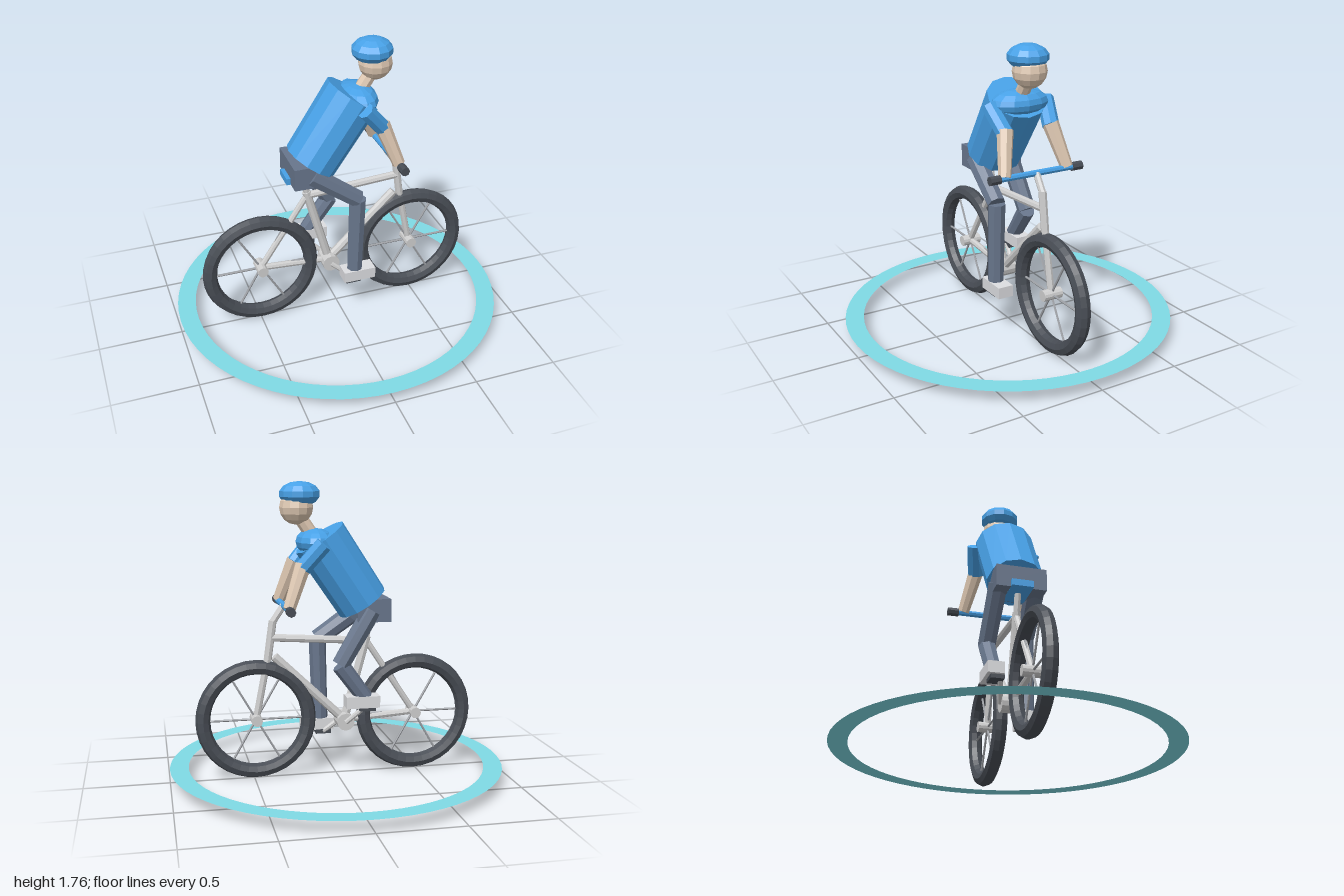
import * as THREE from 'three';

const mat = (name, color) => {
  const m = new THREE.MeshStandardMaterial({ color });
  m.name = name;
  return m;
};

export function createModel() {
  const root = new THREE.Group();
  root.name = 'cyclist';
  const blue = mat('blue', 0x48a2e8);
  const slate = mat('slate', 0x68768c);
  const skin = mat('skin', 0xdec8b2);
  const rubber = mat('rubber', 0x484d55);
  const metal = mat('metal', 0xcfcfcf);
  const spokeGrey = mat('spokeGrey', 0xa0a3a8);
  const shoe = mat('shoe', 0xdcdde0);
  const teal = mat('teal', 0x7fdae5);
  teal.side = THREE.DoubleSide;

  // Faceted mesh
  const add = (name, geo, material, pos = [0, 0, 0], parent = root) => {
    const g = geo.index ? geo.toNonIndexed() : geo;
    g.computeVertexNormals();
    const mesh = new THREE.Mesh(g, material);
    mesh.name = name;
    mesh.position.set(...pos);
    parent.add(mesh);
    return mesh;
  };
  const box = (name, size, pos, material) => add(name, new THREE.BoxGeometry(...size), material, pos);
  const ball = (name, radii, pos, material, rows = 8) =>
    add(name, new THREE.SphereGeometry(1, 12, rows).scale(...radii), material, pos);

  // Tapered rod between two points
  const up = new THREE.Vector3(0, 1, 0);
  const rod = (name, a, b, ra, rb, material, parent = root, sides = 8) => {
    const p = new THREE.Vector3(...a), q = new THREE.Vector3(...b);
    const d = q.clone().sub(p);
    const mesh = add(name, new THREE.CylinderGeometry(rb, ra, d.length(), sides), material,
      p.clone().add(q).multiplyScalar(0.5).toArray(), parent);
    mesh.quaternion.setFromUnitVectors(up, d.normalize());
    return mesh;
  };

  // Floating ring around the bicycle
  add('ring', new THREE.RingGeometry(0.89, 1, 64).rotateX(-Math.PI / 2), teal, [0, 0.075, 0]);

  // Wheels
  for (const [name, x] of [['rearWheel', -0.485], ['frontWheel', 0.485]]) {
    const wheel = new THREE.Group();
    wheel.name = name;
    wheel.position.set(x, 0.36, 0);
    root.add(wheel);
    add('tire', new THREE.TorusGeometry(0.316, 0.044, 8, 36), rubber, [0, 0, 0], wheel);
    rod('hub', [0, 0, -0.06], [0, 0, 0.06], 0.033, 0.033, metal, wheel, 12);
    for (let i = 0; i < 6; i++) {
      const t = (i * Math.PI) / 3;
      rod('spoke', [0, 0, 0], [0.3 * Math.cos(t), 0.3 * Math.sin(t), 0], 0.007, 0.007, spokeGrey, wheel, 6);
    }
  }

  // Frame tubes: name, start, end, radius
  const tubes = [
    ['chainStay', [-0.485, 0.36], [-0.05, 0.33], 0.02],
    ['seatStay', [-0.485, 0.36], [-0.18, 0.82], 0.019],
    ['seatTube', [-0.05, 0.33], [-0.188, 0.84], 0.026],
    ['seatPost', [-0.18, 0.82], [-0.215, 0.96], 0.02],
    ['topTube', [-0.18, 0.813], [0.395, 0.85], 0.023],
    ['downTube', [-0.05, 0.33], [0.373, 0.735], 0.027],
    ['fork', [0.485, 0.36], [0.41, 0.74], 0.021],
    ['headTube', [0.412, 0.72], [0.38, 0.95], 0.024],
    ['stem', [0.382, 0.94], [0.315, 1.04], 0.021],
  ];
  for (const [name, a, b, r] of tubes) rod(name, [...a, 0], [...b, 0], r, r, metal);
  rod('bottomBracket', [-0.05, 0.327, -0.06], [-0.05, 0.327, 0.06], 0.053, 0.053, metal, root, 12);
  box('saddle', [0.22, 0.04, 0.13], [-0.215, 0.965, 0], blue);

  // Handlebar
  rod('handlebar', [0.315, 1.04, -0.25], [0.315, 1.04, 0.25], 0.019, 0.019, blue);
  for (const s of [-1, 1])
    rod('grip', [0.315, 1.04, s * 0.238], [0.315, 1.04, s * 0.304], 0.027, 0.027, rubber);

  // Torso, shoulders and pelvis
  const torso = add('torso', new THREE.CylinderGeometry(0.165, 0.158, 0.467, 12).scale(1, 1, 1.1),
    blue, [-0.03, 1.24, 0]);
  torso.rotation.z = -Math.atan2(0.26, 0.39);
  ball('shoulders', [0.115, 0.08, 0.185], [0.125, 1.41, 0], blue);
  box('pelvis', [0.2, 0.135, 0.3], [-0.2, 1.013, 0], slate);

  // Head
  rod('neck', [0.13, 1.43, 0], [0.225, 1.57, 0], 0.042, 0.04, skin);
  ball('head', [0.1, 0.1, 0.1], [0.235, 1.61, 0], skin);
  ball('helmet', [0.122, 0.074, 0.121], [0.215, 1.687, 0], blue, 7);

  // Arms
  for (const s of [-1, 1]) {
    rod('sleeve', [0.107, 1.41, s * 0.185], [0.226, 1.27, s * 0.152], 0.05, 0.05, blue);
    rod('forearm', [0.222, 1.29, s * 0.15], [0.313, 1.045, s * 0.206], 0.049, 0.037, skin);
  }

  // Legs: side, knee, ankle and pedal positions
  const legs = [
    [1, [0.09, 0.81], [0.075, 0.3], [0.062, 0.238]],
    [-1, [0, 0.695], [-0.15, 0.49], [-0.163, 0.427]],
  ];
  for (const [s, knee, ankle, pedal] of legs) {
    rod('thigh', [-0.19, 1.01, s * 0.112], [...knee, s * 0.131], 0.06, 0.055, slate);
    rod('shin', [...knee, s * 0.13], [...ankle, s * 0.13], 0.053, 0.048, slate);
    box('shoe', [0.2, 0.07, 0.097], [pedal[0] + 0.033, pedal[1] + 0.046, s * 0.13], shoe);
    box('pedal', [0.095, 0.026, 0.08], [...pedal, s * 0.117], rubber);
    rod('crank', [-0.05, 0.327, s * 0.06], [...pedal, s * 0.09], 0.016, 0.016, metal);
  }
  return root;
}
